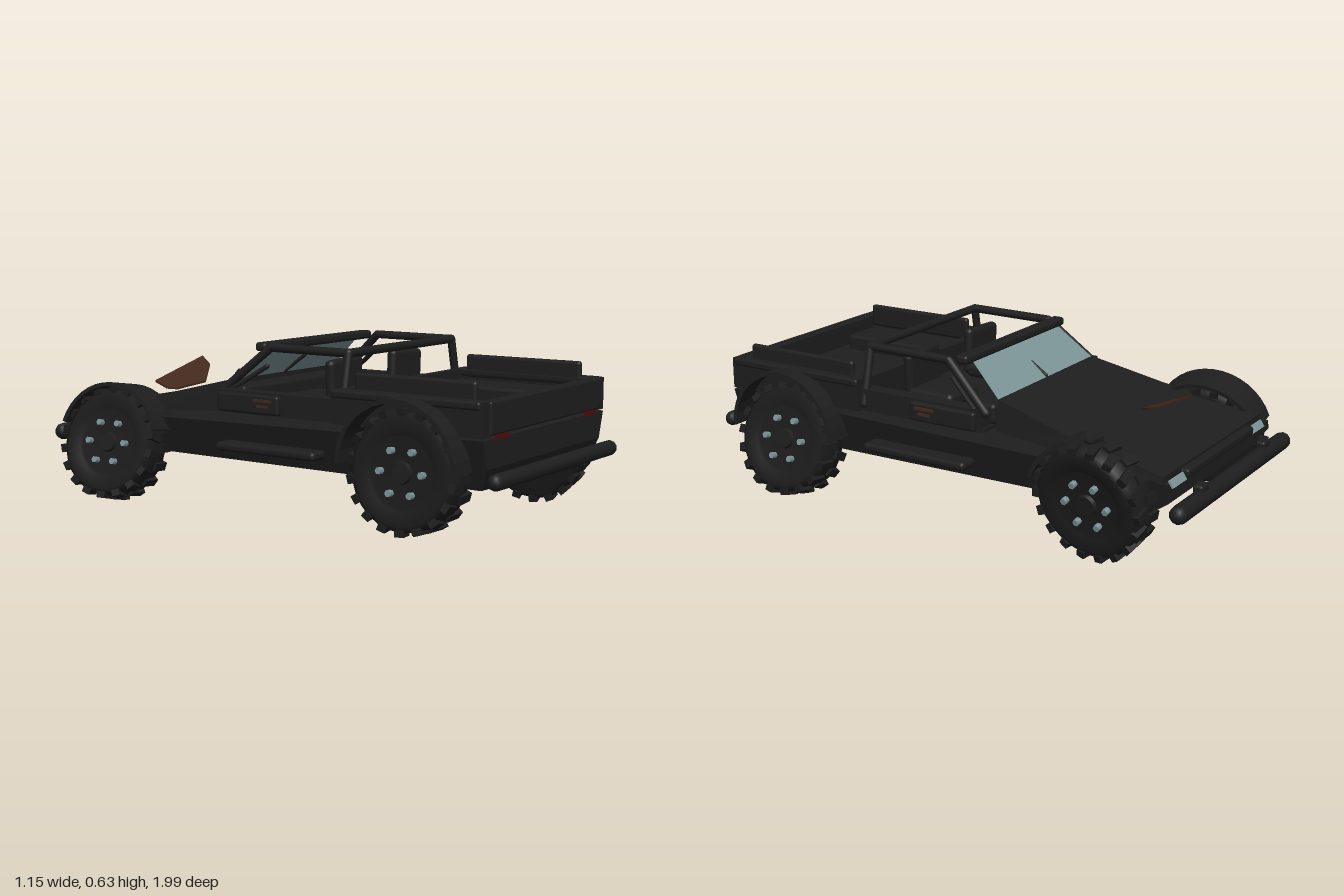
import * as THREE from 'three';
import { RoundedBoxGeometry } from 'three/addons/geometries/RoundedBoxGeometry.js';

const mat = (name, color, side = THREE.FrontSide) => {
  const m = new THREE.MeshStandardMaterial({ color, side });
  m.name = name;
  return m;
};

// Loft of trapezoid sections [z, halfBottom, yBottom, halfTop, yTop], z descending
function loft(sections, cx = 0.01) {
  const rings = sections.map(([z, hb, yb, ht, yt]) => [
    [cx - hb, yb, z], [cx + hb, yb, z], [cx + ht, yt, z], [cx - ht, yt, z]]);
  const p = [];
  const quad = (a, b, c, d) => p.push(...a, ...b, ...c, ...a, ...c, ...d);
  for (let i = 0; i < rings.length - 1; i++) {
    const A = rings[i], B = rings[i + 1];
    for (let k = 0; k < 4; k++) {
      const n = (k + 1) % 4;
      quad(A[k], B[k], B[n], A[n]);
    }
  }
  quad(...rings[0]);
  quad(...rings[rings.length - 1].slice().reverse());
  const g = new THREE.BufferGeometry();
  g.setAttribute('position', new THREE.Float32BufferAttribute(p, 3));
  g.computeVertexNormals();
  return g;
}

export function createModel() {
  const root = new THREE.Group();
  root.name = 'offRoadPickup';
  const body = mat('bodyBlack', 0x1e1e1e);
  const rubber = mat('tyreBlack', 0x1c1c1c);
  const glass = mat('paleGlass', 0x7d9699, THREE.DoubleSide);
  const red = mat('tailRed', 0x560a0a);
  const rust = mat('rustBrown', 0x42291d, THREE.DoubleSide);

  const add = (name, geo, m, parent = root) => {
    const mesh = new THREE.Mesh(geo, m);
    mesh.name = name;
    parent.add(mesh);
    return mesh;
  };
  // Box given by its extents
  const box = (name, x0, x1, y0, y1, z0, z1, m = body, round = 0) => {
    const s = [x1 - x0, y1 - y0, z1 - z0];
    const g = round ? new RoundedBoxGeometry(...s, 2, round) : new THREE.BoxGeometry(...s);
    const mesh = add(name, g, m);
    mesh.position.set((x0 + x1) / 2, (y0 + y1) / 2, (z0 + z1) / 2);
    return mesh;
  };
  // Round bar between two points
  const bar = (name, a, b, r, m = body) => {
    const A = new THREE.Vector3(...a), B = new THREE.Vector3(...b);
    const mesh = add(name, new THREE.CapsuleGeometry(r, A.distanceTo(B), 4, 10), m);
    mesh.position.copy(A).lerp(B, 0.5);
    mesh.quaternion.setFromUnitVectors(new THREE.Vector3(0, 1, 0), B.sub(A).normalize());
    return mesh;
  };

  // Lower hull, hood and nose
  add('chassis', loft([[0.93, 0.42, 0.28, 0.45, 0.378], [0.9, 0.4, 0.205, 0.45, 0.378],
    [0.42, 0.4, 0.205, 0.445, 0.36], [-0.46, 0.39, 0.205, 0.43, 0.342],
    [-0.85, 0.38, 0.215, 0.4, 0.33], [-0.9, 0.39, 0.25, 0.4, 0.32]]), body);
  add('hood', loft([[-0.21, 0.36, 0.375, 0.345, 0.49], [-0.5, 0.39, 0.36, 0.38, 0.42],
    [-0.89, 0.415, 0.325, 0.41, 0.35]]), body);
  box('noseLip', -0.27, 0.29, 0.31, 0.342, -0.922, -0.885, body, 0.01);

  // Load bed
  for (const [x0, x1] of [[-0.44, -0.39], [0.41, 0.46]]) {
    box('bedSide', x0, x1, 0.385, 0.503, 0.33, 0.93);
    box('bedSideRim', x0 - 0.006, x1 + 0.006, 0.475, 0.505, 0.33, 0.92, body, 0.01);
  }
  box('tailgate', -0.4, 0.42, 0.39, 0.503, 0.89, 0.938, body, 0.008);
  box('bedFrontWall', -0.4, 0.42, 0.385, 0.5, 0.32, 0.355);
  box('bedFloor', -0.41, 0.43, 0.385, 0.41, 0.33, 0.91);
  box('bedBench', -0.35, -0.16, 0.4, 0.47, 0.37, 0.85, body, 0.015);
  box('bedBench', 0.18, 0.37, 0.4, 0.47, 0.37, 0.85, body, 0.015);
  box('bedRail', -0.365, -0.34, 0.47, 0.56, 0.375, 0.86, body, 0.012);
  box('bedRail', 0.405, 0.43, 0.47, 0.56, 0.375, 0.86, body, 0.012);
  box('tailLight', -0.365, -0.278, 0.375, 0.391, 0.93, 0.936, red);
  box('tailLight', 0.295, 0.38, 0.375, 0.391, 0.93, 0.936, red);

  // Cab tub with doors and side steps
  box('cabFloor', -0.41, 0.43, 0.385, 0.4, -0.2, 0.33);
  box('dashboard', -0.36, 0.38, 0.4, 0.475, -0.21, -0.11, body, 0.015);
  for (const s of [-1, 1]) {
    const span = (a, b) => [0.01 + s * a, 0.01 + s * b].sort((p, q) => p - q);
    box('cabSide', ...span(0.37, 0.43), 0.385, 0.467, -0.19, 0.33);
    box('doorPanel', ...span(0.42, 0.45), 0.39, 0.46, -0.175, 0.1, body, 0.01);
    box('sideStep', ...span(0.41, 0.49), 0.25, 0.283, -0.155, 0.285, body, 0.014);
    box('doorHandle', ...span(0.449, 0.456), 0.416, 0.425, 0.01, 0.06, rust);
    box('doorTrim', ...span(0.449, 0.456), 0.436, 0.446, -0.005, 0.075, rust);
    // Seats
    box('seatCushion', ...span(0.1, 0.3), 0.4, 0.455, 0.02, 0.22, body, 0.02);
    const back = box('seatBack', ...span(0.1, 0.3), 0.41, 0.588, 0.195, 0.235, body, 0.018);
    back.rotation.z = -s * 0.05;
    // Headlights leaning back on the nose
    const lamp = box('headlight', ...span(0.285, 0.39), 0.306, 0.336, -0.911, -0.904, glass);
    lamp.rotation.x = 0.6;
    // Tow eyes under the tail
    bar('towEye', [0.01 + s * 0.272, 0.22, 0.86], [0.01 + s * 0.272, 0.22, 0.9], 0.02);
  }

  // Roll cage, leaning slightly to one side
  for (const [top, low] of [[-0.315, -0.355], [0.385, 0.435]]) {
    bar('cageRearPost', [low, 0.41, 0.32], [top, 0.618, 0.32], 0.016);
    bar('cageRoofRail', [top, 0.618, 0.32], [top + 0.01, 0.618, -0.03], 0.016);
    bar('windscreenPillar', [top + 0.01, 0.618, -0.03], [low, 0.46, -0.21], 0.016);
    bar('pillarBrace', [top, 0.55, -0.04], [low, 0.47, -0.16], 0.009);
  }
  bar('cageRearBar', [-0.315, 0.618, 0.32], [0.385, 0.618, 0.32], 0.016);
  box('windscreenHeader', -0.32, 0.38, 0.602, 0.635, -0.095, -0.045, body, 0.012);

  // Windscreen
  const pane = new THREE.BufferGeometry();
  pane.setAttribute('position', new THREE.Float32BufferAttribute([
    -0.33, 0.485, -0.215, -0.28, 0.61, -0.08, 0.325, 0.61, -0.08, 0.355, 0.485, -0.215], 3));
  pane.setIndex([0, 1, 2, 0, 2, 3]);
  pane.computeVertexNormals();
  add('windscreen', pane, glass);
  bar('wiper', [0.012, 0.495, -0.206], [0.025, 0.56, -0.12], 0.007);

  // Bumpers
  bar('rearBumper', [-0.42, 0.245, 0.969], [0.435, 0.245, 0.969], 0.029);
  bar('frontBumper', [-0.44, 0.245, -0.966], [0.455, 0.245, -0.966], 0.033);
  for (const x of [-0.265, 0.275]) {
    box('frontBumperBracket', x - 0.03, x + 0.03, 0.25, 0.298, -0.98, -0.942, body, 0.01);
  }

  // Loose rusty plate standing off the hood at a slant
  const outline = [[-0.19, -0.7], [0.165, -0.755], [0.135, -0.69], [0, -0.6], [-0.155, -0.615], [-0.19, -0.64]];
  const shape = new THREE.Shape(outline.map(([x, z]) => new THREE.Vector2(x, -z)));
  const plate = new THREE.ExtrudeGeometry(shape, { depth: 0.008, bevelEnabled: false });
  plate.rotateX(-Math.PI / 2);
  const pp = plate.attributes.position;
  for (let i = 0; i < pp.count; i++) {
    pp.setY(i, pp.getY(i) + 0.422 + 0.13 * pp.getX(i) + 0.37 * (-0.6 - pp.getZ(i)));
  }
  plate.computeVertexNormals();
  add('rustyPlate', plate, rust);

  // Wheels: tyre with tread blocks, dished rim, hub and lug nuts
  const tyreProfile = [[0, -0.055], [0.1, -0.055], [0.18, -0.062], [0.2, -0.05], [0.205, 0],
    [0.2, 0.05], [0.18, 0.062], [0.13, 0.056], [0.12, 0.045], [0, 0.045]]
    .map(([r, h]) => new THREE.Vector2(r, h));
  const tyreGeo = new THREE.LatheGeometry(tyreProfile, 28);
  const wheel = (name, s, x, y, z, camber, toe) => {
    const g = new THREE.Group();
    g.name = name;
    g.position.set(x, y, z);
    g.rotation.set(0, toe, camber);
    root.add(g);
    add('tyre', tyreGeo, rubber, g).rotation.z = -s * Math.PI / 2;
    for (let i = 0; i < 18; i++) {
      for (const k of [-1, 1]) {
        const a = (i + (k > 0 ? 0.5 : 0)) / 18 * Math.PI * 2;
        const block = add('treadBlock', new THREE.BoxGeometry(0.06, 0.025, 0.032), rubber, g);
        block.position.set(k * 0.032, Math.cos(a) * 0.202, Math.sin(a) * 0.202);
        block.rotation.set(a, k * 0.2, 0);
      }
    }
    const hub = add('hub', new THREE.CylinderGeometry(0.035, 0.04, 0.015, 16), body, g);
    hub.rotation.z = -s * Math.PI / 2;
    hub.position.x = s * 0.05;
    for (let i = 0; i < 6; i++) {
      const a = i / 6 * Math.PI * 2 + Math.PI / 6;
      const nut = add('lugNut', new THREE.CylinderGeometry(0.0125, 0.0125, 0.024, 6), glass, g);
      nut.rotation.z = Math.PI / 2;
      nut.position.set(s * 0.055, Math.cos(a) * 0.083, Math.sin(a) * 0.083);
    }
  };
  wheel('rearWheelLeft', 1, 0.455, 0.225, 0.65, 0.24, 0);
  wheel('rearWheelRight', -1, -0.435, 0.25, 0.65, -0.06, 0);
  wheel('noseWheelLeft', 1, 0.465, 0.245, -0.66, -0.2, -0.1);
  wheel('noseWheelRight', -1, -0.455, 0.226, -0.67, -0.24, 0.1);

  // Arched mudguards
  const fender = (name, x0, x1, y, z, from, to, tilt = 0, toe = 0) => {
    const arch = new THREE.Shape();
    arch.absarc(0, 0, 0.235, from, to, false);
    arch.absarc(0, 0, 0.22, to, from, true);
    const geo = new THREE.ExtrudeGeometry(arch, { depth: x1 - x0, bevelEnabled: false, curveSegments: 8 });
    geo.translate(0, 0, (x0 - x1) / 2);
    geo.rotateY(Math.PI / 2);
    const mesh = add(name, geo, body);
    mesh.position.set((x0 + x1) / 2, y, z);
    mesh.rotation.set(0, toe, tilt);
  };
  fender('rearFender', -0.522, -0.4, 0.268, 0.64, 0, Math.PI);
  fender('rearFender', 0.42, 0.535, 0.268, 0.64, 0, Math.PI);
  fender('noseFender', -0.525, -0.37, 0.222, -0.66, Math.PI * 0.1, Math.PI * 0.9, -0.15, 0.08);
  fender('noseFender', 0.4, 0.535, 0.23, -0.66, Math.PI * 0.6, Math.PI * 0.9);

  return root;
}
